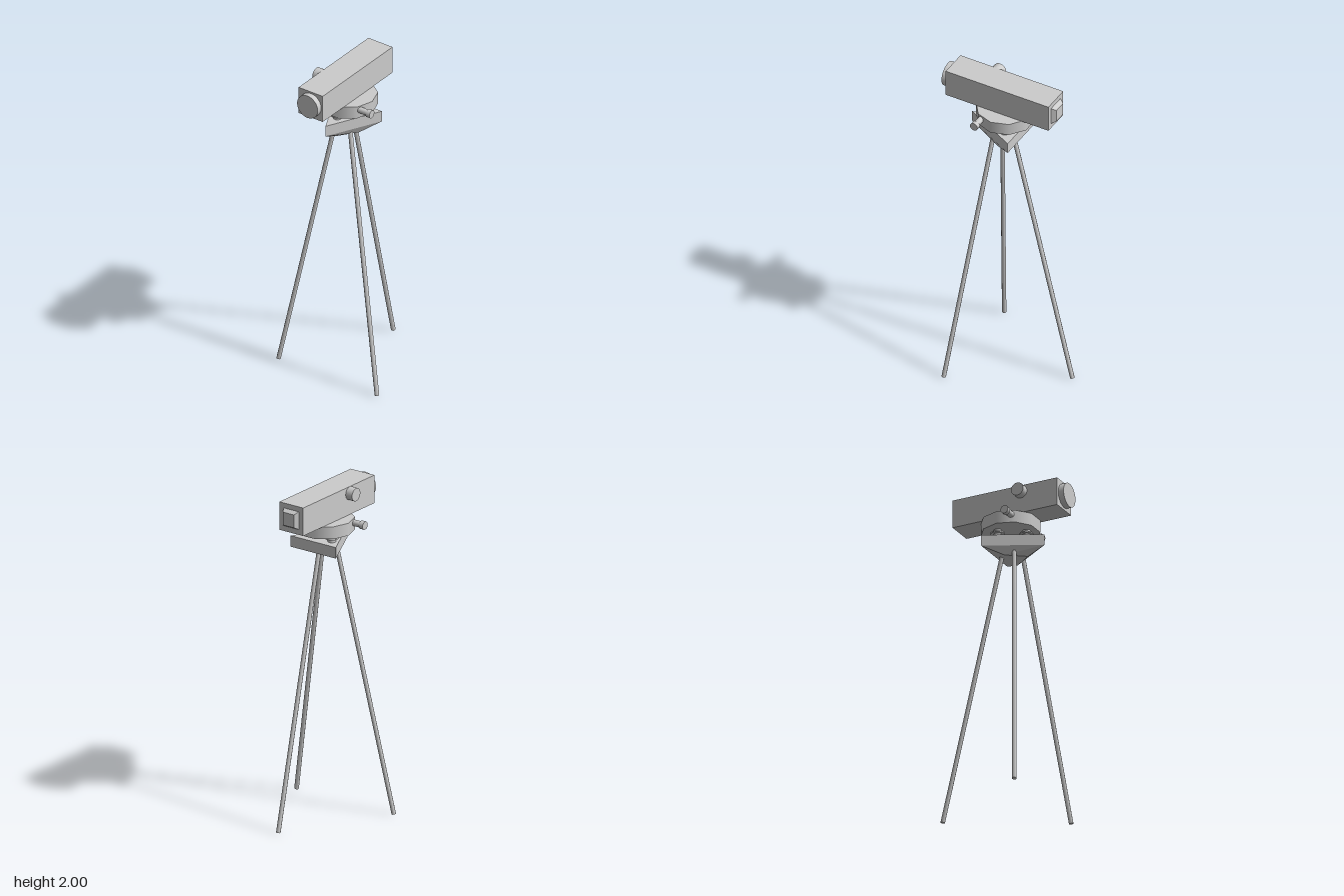
import * as THREE from 'three';
import { ConvexGeometry } from 'three/addons/geometries/ConvexGeometry.js';

const CX = -0.01; // vertical axis of the instrument

export function createModel() {
  const model = new THREE.Group();
  const mat = new THREE.MeshStandardMaterial({ color: 0xcccccc });
  const flat = new THREE.MeshStandardMaterial({ color: 0xcccccc, flatShading: true });
  const V = (x, y, z) => new THREE.Vector3(x, y, z);

  const add = (name, geo, material = mat) => {
    const mesh = new THREE.Mesh(geo, material);
    mesh.name = name;
    model.add(mesh);
    return mesh;
  };

  // Cylinder running between two points
  const rod = (name, a, b, r, sides = 16, material = mat) => {
    const dir = b.clone().sub(a);
    const mesh = add(name, new THREE.CylinderGeometry(r, r, dir.length(), sides), material);
    mesh.position.copy(a).add(b).multiplyScalar(0.5);
    mesh.quaternion.setFromUnitVectors(V(0, 1, 0), dir.normalize());
    return mesh;
  };

  // Telescope: box body, round objective, square eyepiece, focus knob
  add('telescopeBody', new THREE.BoxGeometry(0.173, 0.173, 0.685)).position.set(-0.015, 1.914, 0.048);
  rod('objective', V(-0.013, 1.916, 0.38), V(-0.013, 1.916, 0.425), 0.074, 32);
  const eyepiece = new THREE.CylinderGeometry(0.04 * Math.SQRT2, 0.055 * Math.SQRT2, 0.027, 4, 1);
  eyepiece.rotateY(Math.PI / 4).rotateX(-Math.PI / 2);
  add('eyepiece', eyepiece, flat).position.set(-0.014, 1.915, -0.308);
  rod('focusKnob', V(-0.148, 1.96, 0.153), V(-0.09, 1.96, 0.153), 0.04, 20);

  // Ten-sided turning plate
  const plate = new THREE.CylinderGeometry(0.175, 0.175, 0.076, 10, 1, false, Math.PI / 2);
  add('turningPlate', plate).position.set(-0.008, 1.789, 0.036);

  // Tangent screws on both sides
  for (const s of [-1, 1]) {
    const at = (d) => V(-0.008 + s * d, 1.8, 0.117);
    rod('tangentScrew', at(0.1), at(0.206), 0.019);
    rod('tangentScrewHead', at(0.204), at(0.232), 0.025);
  }

  // Levelling screws with thin flanges, over the corners of the tripod head
  for (const [x, z] of [[-0.083, -0.005], [0.083, -0.005], [0, 0.14]]) {
    const at = (y) => V(CX + 0.003 + x, y, z);
    rod('levellingScrew', at(1.7), at(1.755), 0.024);
    rod('levellingFlange', at(1.726), at(1.734), 0.041, 20);
  }

  // Triangular tripod head, tapered below
  const headPoints = [];
  for (const [y, half, back, front] of [
    [1.705, 0.164, -0.072, 0.258],
    [1.637, 0.164, -0.072, 0.258],
    [1.587, 0.081, 0.038, 0.15],
  ]) {
    headPoints.push(V(-0.006 - half, y, back), V(-0.006 + half, y, back), V(-0.006, y, front));
  }
  add('tripodHead', new ConvexGeometry(headPoints));

  // Tripod legs: top and foot positions
  for (const [tx, tz, fx, fz] of [
    [-0.052, 0.087, -0.346, 0.243],
    [0.052, 0.087, 0.36, 0.243],
    [0, -0.018, 0, -0.409],
  ]) {
    rod('leg', V(tx - 0.007, 1.63, tz), V(fx - 0.007, 0.005, fz), 0.0135, 8);
  }
  return model;
}
